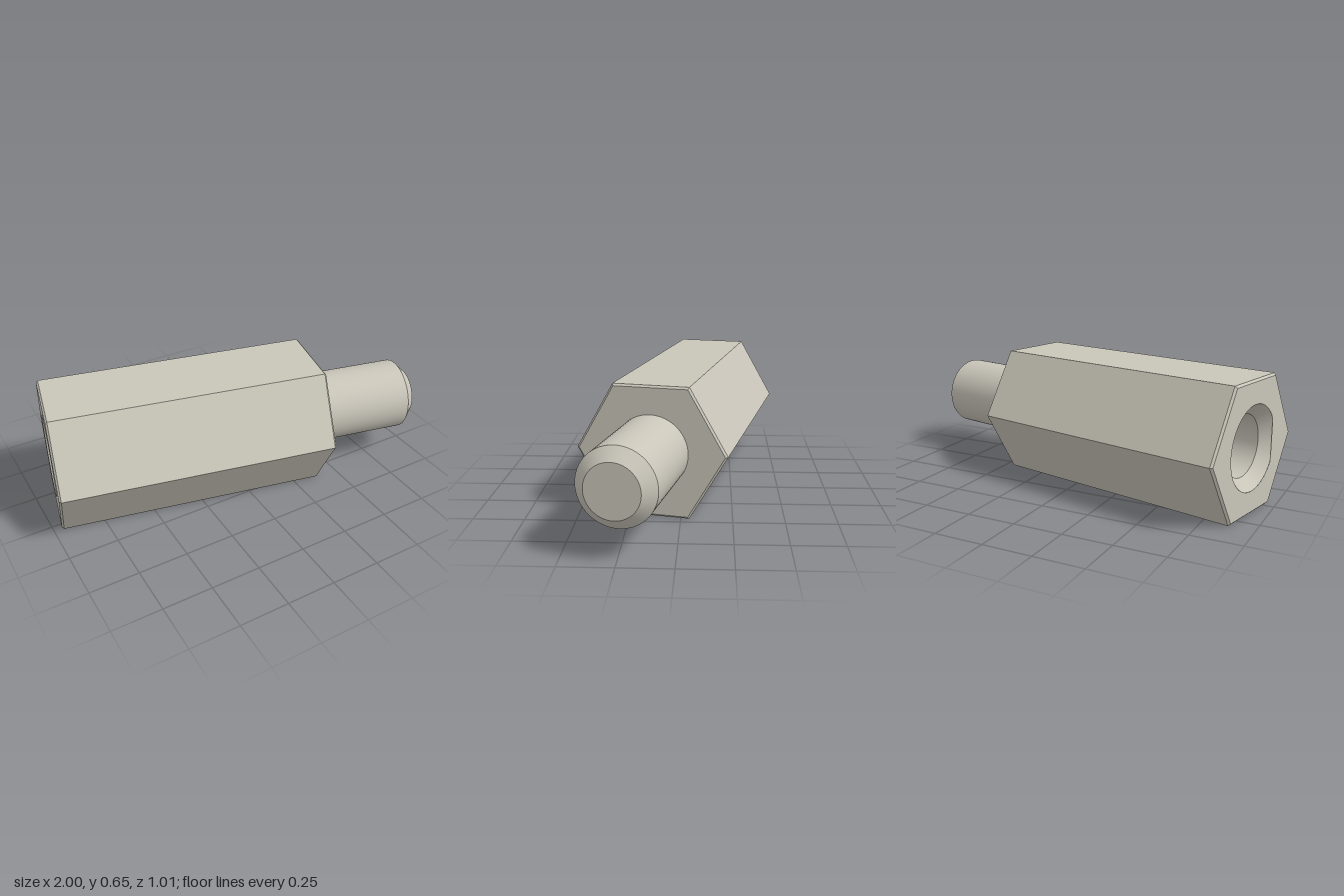
import * as THREE from 'three';

const BODY = 1.38, TOTAL = 1.936;           // lengths along the axis
const APOTHEM = 0.324, HEX_R = APOTHEM / Math.cos(Math.PI / 6);
const EDGE = 0.01;                          // small chamfer on the hex ends
const STUD_R = 0.184, TIP_R = 0.127, TIP = 0.056;
const HOLE_R = 0.152, SINK_R = 0.208, SINK = 0.056, DEPTH = 0.85;

export function createModel() {
  const metal = new THREE.MeshStandardMaterial({ color: 0xc9c5b9 });
  metal.name = 'satin metal';

  const standoff = new THREE.Group();
  standoff.name = 'standoff';

  const add = (parent, name, geometry) => {
    const mesh = new THREE.Mesh(geometry, metal);
    mesh.name = name;
    parent.add(mesh);
  };
  // Round surface between two [radius, height] points, with sharp ends
  const band = (a, b) =>
    new THREE.LatheGeometry([new THREE.Vector2(...a), new THREE.Vector2(...b)], 64);

  // Hexagonal body: sides, end chamfers and the closed end face
  const inner = HEX_R - EDGE / Math.cos(Math.PI / 6);
  const profile = [[inner, 0], [HEX_R, EDGE], [HEX_R, BODY - EDGE], [inner, BODY], [0, BODY]]
    .map((p) => new THREE.Vector2(...p));
  const hex = new THREE.LatheGeometry(profile, 6).toNonIndexed();
  hex.computeVertexNormals();
  add(standoff, 'hexBody', hex);

  // Open end face with the round hole cut out
  const face = new THREE.Shape();
  for (let i = 0; i < 6; i++) {
    const a = i * Math.PI / 3;
    face[i ? 'lineTo' : 'moveTo'](inner * Math.sin(a), inner * Math.cos(a));
  }
  face.closePath();
  face.holes.push(new THREE.Path().absarc(0, 0, SINK_R, 0, Math.PI * 2, true));
  add(standoff, 'openEndFace', new THREE.ShapeGeometry(face, 64).rotateX(Math.PI / 2));

  // Countersunk blind hole, facing inward
  const hole = new THREE.Group();
  hole.name = 'hole';
  add(hole, 'countersink', band([HOLE_R, SINK], [SINK_R, 0]));
  add(hole, 'holeWall', band([HOLE_R, DEPTH], [HOLE_R, SINK]));
  add(hole, 'holeBottom', band([0, DEPTH], [HOLE_R, DEPTH]));
  standoff.add(hole);

  // Stud with a chamfered tip
  const stud = new THREE.Group();
  stud.name = 'stud';
  add(stud, 'studShaft', band([STUD_R, BODY], [STUD_R, TOTAL - TIP]));
  add(stud, 'studChamfer', band([STUD_R, TOTAL - TIP], [TIP_R, TOTAL]));
  add(stud, 'studTip', band([TIP_R, TOTAL], [0, TOTAL]));
  standoff.add(stud);

  // Lay the axis along x, then turn it toward the front
  standoff.rotation.z = -Math.PI / 2;
  const model = new THREE.Group();
  model.name = 'hexStandoff';
  const turned = new THREE.Group();
  turned.name = 'turnedStandoff';
  turned.rotation.y = THREE.MathUtils.degToRad(-12);
  turned.position.set(-0.922, APOTHEM, -0.143);
  turned.add(standoff);
  model.add(turned);
  return model;
}
